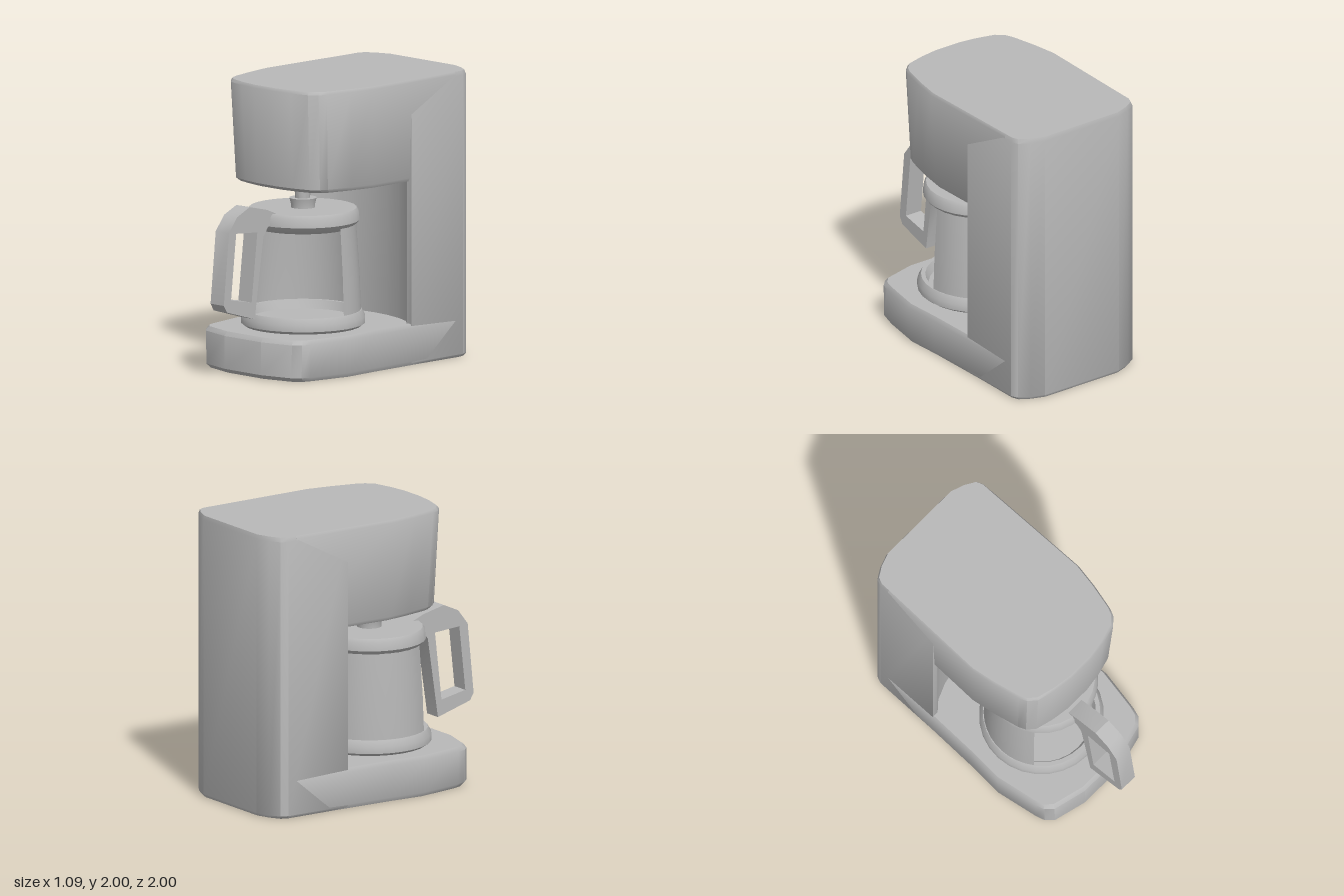
import * as THREE from 'three';
import { toCreasedNormals } from 'three/addons/utils/BufferGeometryUtils.js';

const grey = new THREE.MeshStandardMaterial({ color: 0xb8b8b8, side: THREE.DoubleSide });
grey.name = 'grey';

// Half outline [x, z] from back to front, mirrored to a full loop
const mirror = (half) => [...half, ...half.filter(([x]) => x > 0).reverse().map(([x, z]) => [-x, z])];

// Stacks scaled copies of an outline: each ring is [y, scaleX, scaleZ], scaled about z = cz
function loft(outline, rings, cz) {
  const n = outline.length, pos = [], idx = [];
  for (const [y, sx, sz] of rings)
    for (const [x, z] of outline) pos.push(x * sx, y, cz + (z - cz) * sz);
  for (let r = 0; r < rings.length - 1; r++)
    for (let i = 0; i < n; i++) {
      const j = (i + 1) % n, a = r * n + i, b = r * n + j;
      idx.push(a, a + n, b, b, a + n, b + n);
    }
  const top = (rings.length - 1) * n;
  const caps = THREE.ShapeUtils.triangulateShape(outline.map(([x, z]) => new THREE.Vector2(x, z)), []);
  for (const [a, b, c] of caps) idx.push(a, b, c, top + a, top + c, top + b);
  const g = new THREE.BufferGeometry();
  g.setAttribute('position', new THREE.Float32BufferAttribute(pos, 3));
  g.setIndex(idx);
  return toCreasedNormals(g, 0.7);
}

const points = (list) => list.map(([a, b]) => new THREE.Vector2(a, b));

function lathe(profile, segments = 32, start = 0, length = Math.PI * 2) {
  return toCreasedNormals(new THREE.LatheGeometry(points(profile), segments, start, length), 0.7);
}

export function createModel() {
  const model = new THREE.Group();
  model.name = 'coffeeMaker';
  const add = (name, geometry, parent = model) => {
    const mesh = new THREE.Mesh(geometry, grey);
    mesh.name = name;
    parent.add(mesh);
    return mesh;
  };

  // Rear column with chamfered back and a hollowed front
  const column = mirror([
    [0.32, -1], [0.42, -0.965], [0.495, -0.92], [0.515, -0.87], [0.515, -0.37], [0.47, -0.37],
    [0.4, -0.43], [0.28, -0.48], [0.14, -0.51], [0, -0.52],
  ]);
  add('column', loft(column, [[0, 0.97, 0.97], [0.02, 1, 1], [1.97, 1, 1], [2, 0.98, 0.98]], -0.6));

  // Overhanging brewing head, narrowing slightly downward
  const head = mirror([
    [0.515, -0.8], [0.53, 0.02], [0.5, 0.2], [0.455, 0.39], [0.43, 0.445], [0.375, 0.495], [0.24, 0.53], [0.1, 0.55],
  ]);
  add('head', loft(head, [
    [1.285, 0.93, 0.95], [1.31, 0.955, 0.975], [1.98, 1, 1], [2, 0.98, 0.99],
  ], -0.8));

  // Base with rounded prow
  const base = mirror([
    [0.515, -0.8], [0.53, 0], [0.545, 0.27], [0.49, 0.58], [0.47, 0.645], [0.42, 0.695], [0.18, 0.755],
  ]);
  add('base', loft(base, [
    [0, 0.96, 0.98], [0.03, 0.99, 1], [0.26, 1, 1], [0.29, 0.97, 0.985],
  ], -0.8));

  // Nozzle hanging from the head
  const dripper = new THREE.Group();
  dripper.name = 'dripper';
  dripper.position.z = 0.175;
  model.add(dripper);
  add('nozzle', lathe([[0, 1.3], [0.135, 1.3], [0.13, 1.25], [0.055, 1.25], [0.05, 1.17], [0, 1.17]].reverse()), dripper);

  // Carafe: foot ring, open-fronted wall, collar with lid, knob
  const carafe = new THREE.Group();
  carafe.name = 'carafe';
  carafe.position.z = 0.17;
  model.add(carafe);
  add('foot', lathe([
    [0, 0.288], [0.4, 0.288], [0.43, 0.31], [0.43, 0.355], [0.405, 0.4], [0.375, 0.4], [0.35, 0.34], [0, 0.34],
  ], 28), carafe);
  add('wall', lathe([[0.4, 0.36], [0.39, 0.65], [0.365, 1.02]], 24, Math.PI / 2, Math.PI * 1.2), carafe);
  add('lid', lathe([
    [0, 0.965], [0.34, 0.98], [0.375, 1.01], [0.392, 1.03], [0.385, 1.09], [0.37, 1.113], [0, 1.113],
  ], 28), carafe);
  add('knob', lathe([[0.085, 1.11], [0.085, 1.14], [0.095, 1.18], [0, 1.18]], 20), carafe);

  // Loop handle, drawn as (z, y) and extruded across x
  const outline = new THREE.Shape(points([
    [0.46, 1.1], [0.58, 1.15], [0.75, 1.19], [0.87, 1.135], [0.95, 1.03], [1, 0.53], [0.97, 0.48],
    [0.7, 0.4], [0.615, 0.97], [0.57, 1.03], [0.5, 1.04],
  ]));
  outline.holes.push(new THREE.Path(points([[0.675, 1.005], [0.73, 0.52], [0.93, 0.56], [0.88, 1.02]])));
  const handle = new THREE.ExtrudeGeometry(outline, { depth: 0.13, bevelEnabled: false });
  handle.rotateY(-Math.PI / 2);
  handle.translate(0.062, 0, 0);
  add('handle', toCreasedNormals(handle, 0.6));

  return model;
}
